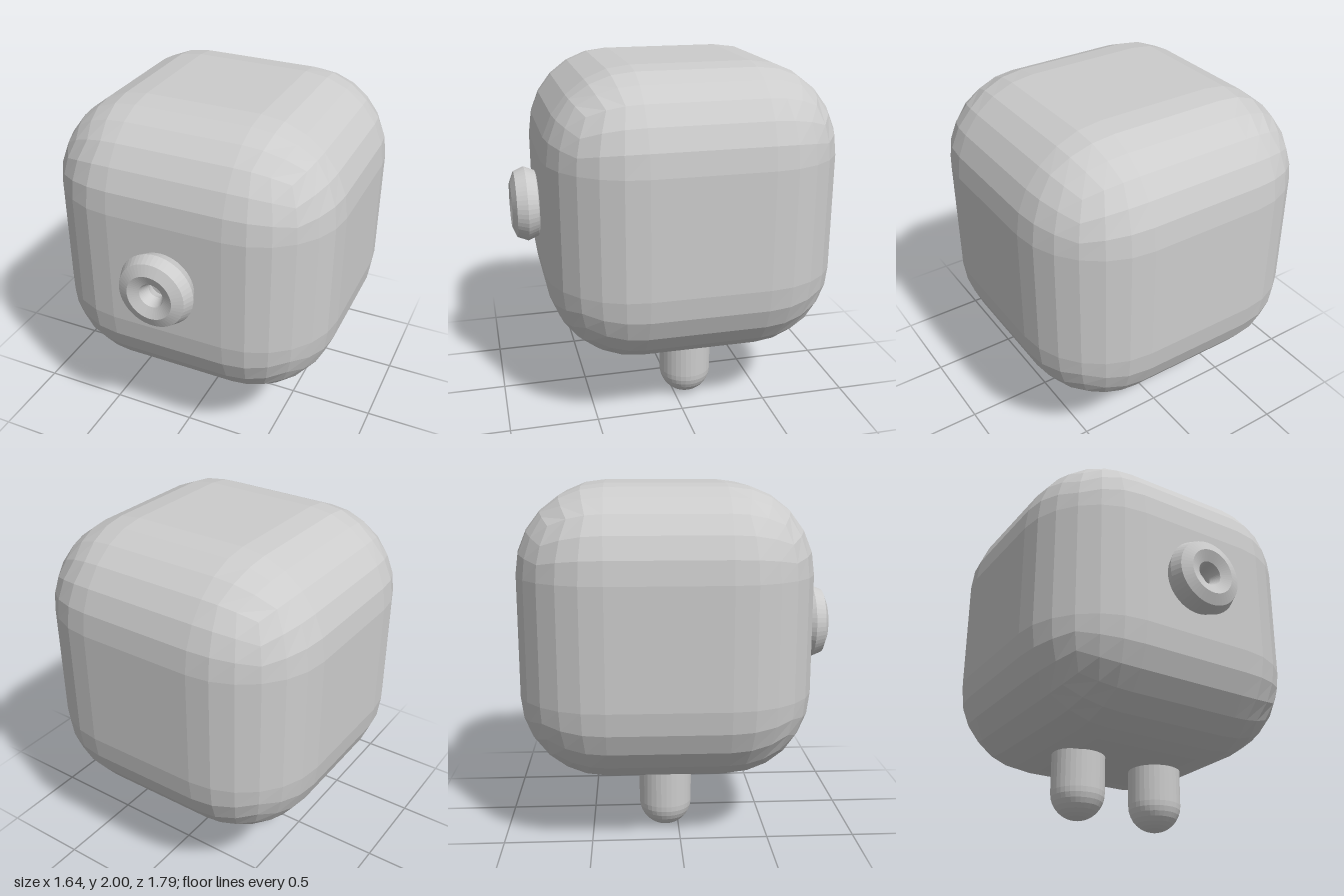
import * as THREE from 'three';

const MID = -0.075; // z centre of the body and legs

// Cube with evenly rounded edges: every grid line becomes an equal step of angle
function roundedCube(core, radius, steps) {
  const n = 2 * steps + 1;
  const geo = new THREE.BoxGeometry(2, 2, 2, n, n, n);
  const pos = geo.attributes.position;
  const v = new THREE.Vector3();
  const bend = (c) => {
    const t = Math.max(0, (Math.abs(c) - 1 / n) / (1 - 1 / n));
    return Math.sign(c) * Math.tan(t * Math.PI / 4);
  };
  for (let i = 0; i < pos.count; i++) {
    v.fromBufferAttribute(pos, i);
    const s = [Math.sign(v.x), Math.sign(v.y), Math.sign(v.z)];
    v.set(bend(v.x), bend(v.y), bend(v.z)).normalize().multiplyScalar(radius);
    pos.setXYZ(i, v.x + s[0] * core, v.y + s[1] * core, v.z + s[2] * core);
  }
  geo.computeVertexNormals();
  return geo;
}

export function createModel() {
  const group = new THREE.Group();
  const grey = new THREE.MeshStandardMaterial({ color: 0xcccccc, flatShading: true });
  grey.name = 'light grey';

  const add = (name, geo, x, y, z) => {
    const mesh = new THREE.Mesh(geo, grey);
    mesh.name = name;
    mesh.position.set(x, y, z);
    group.add(mesh);
  };

  // Big soft-edged body
  add('body', roundedCube(0.33, 0.49, 3), 0, 1.18, MID);

  // Ring-shaped snout on the front
  add('snout', new THREE.TorusGeometry(0.13, 0.085, 8, 48), -0.01, 1.17, 0.81);

  // Two stubby legs with round ends, sunk into the body
  const leg = new THREE.CapsuleGeometry(0.152, 0.3, 8, 32);
  add('leftLeg', leg, 0.26, 0.302, MID);
  add('rightLeg', leg, -0.256, 0.302, MID);

  return group;
}
